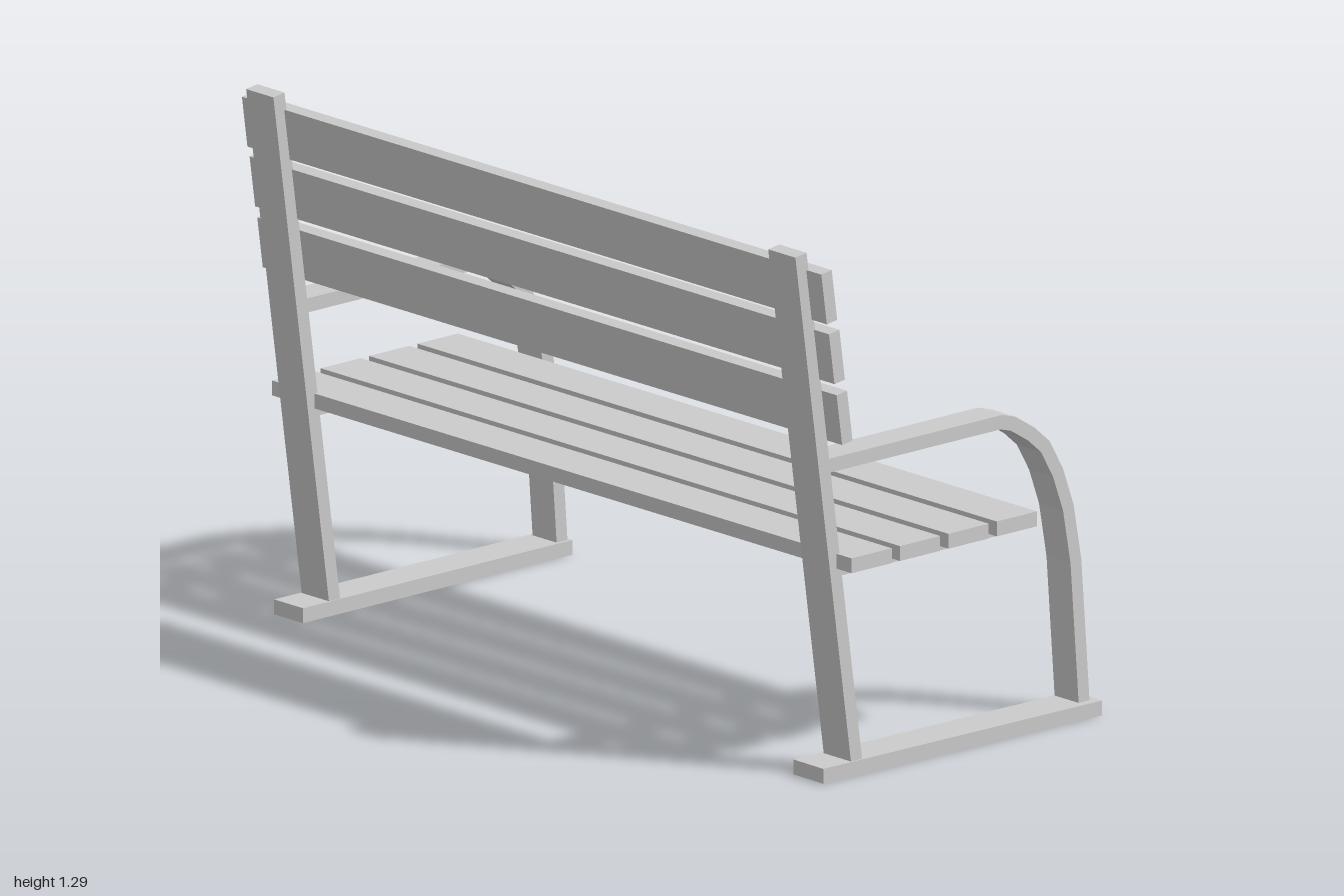
import * as THREE from 'three';

const material = new THREE.MeshStandardMaterial({ color: 0xcccccc, flatShading: true });

function box(name, w, h, d, x, y, z) {
  const mesh = new THREE.Mesh(new THREE.BoxGeometry(w, h, d), material);
  mesh.name = name;
  mesh.position.set(x, y, z);
  return mesh;
}

// Flat side profile, extruded across z and centred on the given z
function profile(name, points, depth, z) {
  const shape = new THREE.Shape(points.map(([x, y]) => new THREE.Vector2(x, y)));
  const geometry = new THREE.ExtrudeGeometry(shape, { depth, bevelEnabled: false });
  geometry.translate(0, 0, z - depth / 2);
  const mesh = new THREE.Mesh(geometry, material);
  mesh.name = name;
  return mesh;
}

// Outline of constant width around a centre line
function strip(path, width) {
  const pts = path.map(([x, y]) => new THREE.Vector2(x, y));
  const left = [], right = [];
  pts.forEach((p, i) => {
    const before = p.clone().sub(pts[Math.max(i - 1, 0)]).normalize();
    const after = pts[Math.min(i + 1, pts.length - 1)].clone().sub(p).normalize();
    const dir = before.clone().add(after).normalize();
    const cos = dir.dot(i === 0 ? after : before);
    const nx = -dir.y * width / 2 / cos, ny = dir.x * width / 2 / cos;
    left.push([p.x + nx, p.y + ny]);
    right.unshift([p.x - nx, p.y - ny]);
  });
  return [...right, ...left];
}

export function createModel() {
  const bench = new THREE.Group();
  bench.name = 'bench';

  // Seat slats
  for (let i = 0; i < 4; i++) {
    bench.add(box('seatSlat', 0.126, 0.036, 2, -0.283 + i * 0.152, 0.529, 0));
  }

  // Backrest slats, leaning with the posts
  for (const [x, y] of [[-0.368, 0.891], [-0.392, 1.043], [-0.416, 1.192]]) {
    const slat = box('backSlat', 0.033, 0.125, 2, x, y, 0);
    slat.rotation.z = 0.139;
    bench.add(slat);
  }

  // Centre line of the armrest that curves down into the front leg
  const armPath = [
    [-0.37, 0.762], [0.176, 0.762], [0.213, 0.751], [0.27, 0.715], [0.314, 0.676],
    [0.354, 0.605], [0.386, 0.515], [0.41, 0.38], [0.436, 0.03],
  ];
  const post = [[-0.3, 0.03], [-0.265, 0.03], [-0.44, 1.293], [-0.475, 1.288]];

  // End frames
  for (const side of [1, -1]) {
    const frame = new THREE.Group();
    frame.name = side > 0 ? 'endFrameFront' : 'endFrameBack';
    const z = side * 0.901;
    frame.add(profile('backPost', post, 0.094, z));
    frame.add(profile('armrestLeg', strip(armPath, 0.034), 0.083, z));
    frame.add(box('seatSupport', 0.574, 0.022, 0.085, -0.045, 0.501, z));
    // One foot rail is a little longer and slightly askew
    const rail = side > 0
      ? box('footRail', 0.862, 0.036, 0.105, 0.042, 0.018, 0.905)
      : box('footRail', 0.845, 0.036, 0.1, 0.038, 0.018, z);
    if (side > 0) rail.rotation.y = -0.016;
    frame.add(rail);
    bench.add(frame);
  }
  return bench;
}
